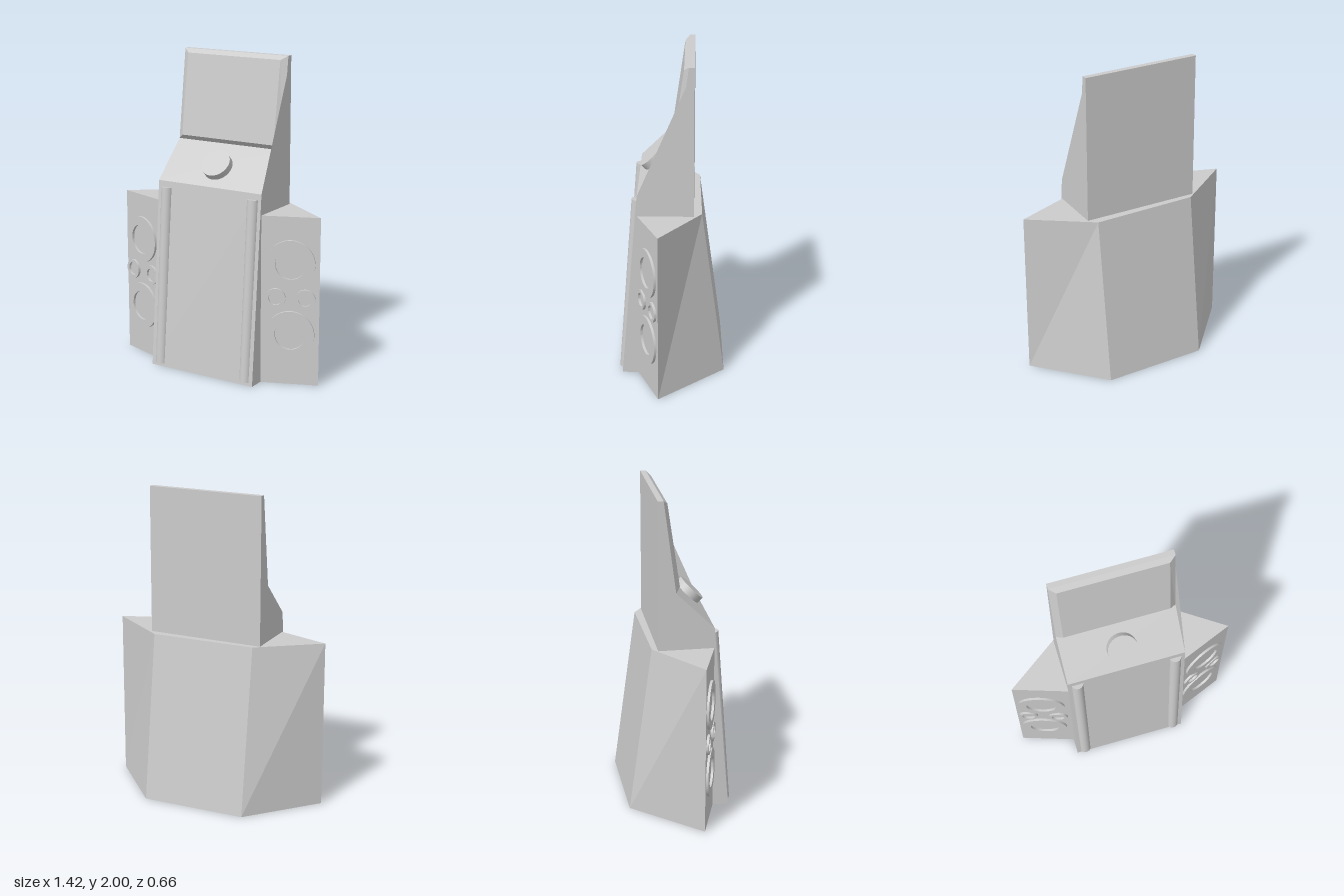
import * as THREE from 'three';
import { toCreasedNormals } from 'three/addons/utils/BufferGeometryUtils.js';

const material = new THREE.MeshStandardMaterial({ color: 0xcccccc, side: THREE.DoubleSide });

function addMesh(parent, name, geometry) {
  const mesh = new THREE.Mesh(geometry, material);
  mesh.name = name;
  parent.add(mesh);
  return mesh;
}

// Flat-faced shell: each face is a fan of corner points, counter-clockwise from outside
function shell(faces) {
  const positions = [];
  for (const face of faces) {
    for (let i = 1; i < face.length - 1; i++) {
      positions.push(...face[0], ...face[i], ...face[i + 1]);
    }
  }
  const geometry = new THREE.BufferGeometry();
  geometry.setAttribute('position', new THREE.Float32BufferAttribute(positions, 3));
  geometry.computeVertexNormals();
  return geometry;
}

// Raised ring standing on its z = 0 plane
function ringGeometry(outer, inner, depth) {
  const shape = new THREE.Shape().absarc(0, 0, outer, 0, Math.PI * 2);
  shape.holes.push(new THREE.Path().absarc(0, 0, inner, 0, Math.PI * 2, true));
  return toCreasedNormals(
    new THREE.ExtrudeGeometry(shape, { depth, bevelEnabled: false, curveSegments: 32 }), 0.6);
}

// Cylinder running between two points
function rod(parent, name, from, to, radius) {
  const axis = to.clone().sub(from);
  const mesh = addMesh(parent, name, new THREE.CylinderGeometry(radius, radius, axis.length(), 32));
  mesh.position.copy(from).add(to).multiplyScalar(0.5);
  mesh.quaternion.setFromUnitVectors(new THREE.Vector3(0, 1, 0), axis.normalize());
  return mesh;
}

export function createModel() {
  const model = new THREE.Group();
  model.name = 'speakerConsole';
  const W = 0.375;

  // Central cabinet, open underneath: side profile as [z, y], swept across x
  const profile = [[-0.135, 0], [0.31, 0], [0.21, 1.2], [-0.025, 1.43], [-0.1, 2], [-0.135, 2]];
  const side = (x) => profile.map(([z, y]) => [x, y, z]);
  const left = side(W), right = side(-W);
  const cabinetFaces = [right, [...left].reverse()];
  for (let i = 1; i < profile.length; i++) {
    if (i === 3) continue; // the screen closes this part
    const j = (i + 1) % profile.length;
    cabinetFaces.push([right[i], left[i], left[j], right[j]]);
  }
  addMesh(model, 'cabinet', shell(cabinetFaces));

  // Raised screen with bevelled border
  const outer = [[-W, 1.43, -0.025], [W, 1.43, -0.025], [W, 2, -0.1], [-W, 2, -0.1]];
  const inner = [[-0.335, 1.46, 0.003], [0.335, 1.46, 0.003], [0.335, 1.975, -0.072], [-0.335, 1.975, -0.072]];
  const border = outer.map((p, i) => {
    const j = (i + 1) % 4;
    return [p, outer[j], inner[j], inner[i]];
  });
  addMesh(model, 'screenBorder', shell(border));
  addMesh(model, 'screen', shell([inner]));

  // Knob on the sloping deck
  rod(model, 'knob', new THREE.Vector3(0, 1.295, 0.092), new THREE.Vector3(0, 1.338, 0.135), 0.095);

  // Half-sunk rails along the front panel
  for (const s of [-1, 1]) {
    rod(model, s > 0 ? 'leftRail' : 'rightRail',
      new THREE.Vector3(s * 0.315, 0.02, 0.291), new THREE.Vector3(s * 0.315, 1.16, 0.206), 0.0375);
  }

  // Rear housing with angled wings, open underneath: plan corners as [x, z]
  const H = 1.07;
  const bottomPlan = [[0.375, 0.21], [0.71, 0.075], [0.33, -0.33], [-0.34, -0.315], [-0.71, 0.1], [-0.375, 0.21]];
  const topPlan = bottomPlan.map((p) => [...p]);
  topPlan[2] = [0.33, -0.185];
  topPlan[3] = [-0.34, -0.17];
  const low = bottomPlan.map(([x, z]) => [x, 0, z]);
  const high = topPlan.map(([x, z]) => [x, H, z]);
  const housingFaces = [high];
  for (let i = 0; i < 5; i++) housingFaces.push([low[i], low[i + 1], high[i + 1], high[i]]);
  addMesh(model, 'housing', shell(housingFaces));

  // Speaker rings on both wings: [x, y, outer radius, inner radius]
  const layouts = {
    left: { from: bottomPlan[0], to: bottomPlan[1],
      rings: [[0.545, 0.775, 0.15, 0.095], [0.545, 0.325, 0.15, 0.095], [0.46, 0.555, 0.062, 0.042], [0.63, 0.555, 0.062, 0.042]] },
    right: { from: bottomPlan[5], to: bottomPlan[4],
      rings: [[-0.55, 0.775, 0.15, 0.095], [-0.55, 0.325, 0.15, 0.095], [-0.455, 0.555, 0.062, 0.042], [-0.64, 0.555, 0.062, 0.042]] },
  };
  for (const [name, { from, to, rings }] of Object.entries(layouts)) {
    const group = new THREE.Group();
    group.name = name + 'Speakers';
    const slope = (to[1] - from[1]) / (to[0] - from[0]);
    for (const [x, y, outerR, innerR] of rings) {
      const ring = addMesh(group, 'speakerRing', ringGeometry(outerR, innerR, 0.015));
      ring.position.set(x, y, from[1] + slope * (x - from[0]));
      ring.rotation.y = Math.atan(-slope);
    }
    model.add(group);
  }
  return model;
}
